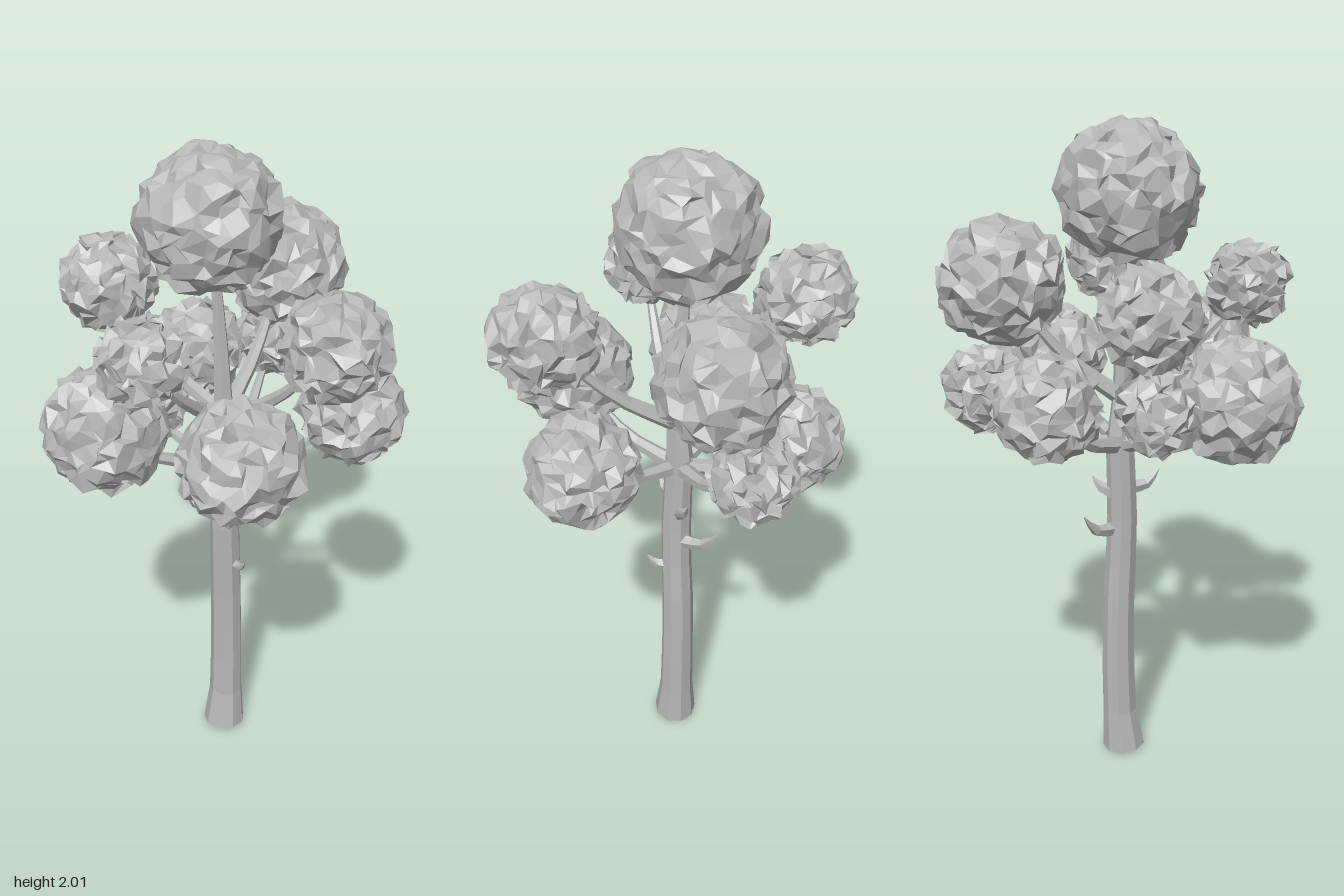
import * as THREE from 'three';

const V = (a) => new THREE.Vector3(...a);

// Repeatable noise in 0..1 from a position, so shared corners stay joined
function hash(p, seed) {
  const q = (v) => Math.round(v * 1000);
  const s = Math.sin(q(p.x) * 0.129898 + q(p.y) * 0.78233 + q(p.z) * 0.37719 + seed * 4.17) * 43758.5453;
  return s - Math.floor(s);
}

// Tapered tube through points, radii interpolated along its length
function taperedTube(points, radii, sides, segments) {
  const curve = new THREE.CatmullRomCurve3(points.map(V));
  const geo = new THREE.TubeGeometry(curve, segments, 1, sides, false);
  const pos = geo.attributes.position;
  const v = new THREE.Vector3();
  for (let i = 0; i <= segments; i++) {
    const t = i / segments;
    const centre = curve.getPointAt(t);
    const f = t * (radii.length - 1);
    const k = Math.min(Math.floor(f), radii.length - 2);
    const r = THREE.MathUtils.lerp(radii[k], radii[k + 1], f - k);
    for (let j = 0; j <= sides; j++) {
      const n = i * (sides + 1) + j;
      v.fromBufferAttribute(pos, n).sub(centre).multiplyScalar(r).add(centre);
      pos.setXYZ(n, v.x, v.y, v.z);
    }
  }
  geo.computeVertexNormals();
  return geo;
}

// Crumpled ball of leaves
function leafBall(radius, seed) {
  const geo = new THREE.IcosahedronGeometry(1, 5);
  const pos = geo.attributes.position;
  const p = new THREE.Vector3();
  const d = new THREE.Vector3();
  for (let i = 0; i < pos.count; i++) {
    p.fromBufferAttribute(pos, i);
    d.set(hash(p, seed) - 0.5, hash(p, seed + 11) - 0.5, hash(p, seed + 23) - 0.5).multiplyScalar(0.035);
    p.multiplyScalar(radius * 0.97).add(d);
    pos.setXYZ(i, p.x, p.y, p.z);
  }
  geo.computeVertexNormals();
  return geo;
}

export function createModel() {
  const tree = new THREE.Group();
  tree.name = 'tree';
  const grey = new THREE.MeshStandardMaterial({ color: 0xb8b8b8, flatShading: true, side: THREE.DoubleSide });
  grey.name = 'light grey';
  const add = (name, geo, at = [0, 0, 0]) => {
    const mesh = new THREE.Mesh(geo, grey);
    mesh.name = name;
    mesh.position.set(...at);
    tree.add(mesh);
    return mesh;
  };

  // Trunk, slightly bent, with a flared foot
  add('trunk', taperedTube(
    [[0.025, 0, -0.005], [0.035, 0.14, -0.012], [0.036, 0.5, -0.016], [0.026, 0.8, -0.008], [0.028, 1.09, -0.02]],
    [0.068, 0.054, 0.052, 0.05, 0.049, 0.047, 0.046, 0.044, 0.042], 9, 8));
  const base = add('trunkBase', new THREE.CircleGeometry(0.067, 9), [0.025, 0.001, -0.005]);
  base.rotation.x = Math.PI / 2;

  // Leaf balls: x, y, z, radius
  const balls = [
    [-0.01, 1.8, -0.035, 0.2],
    [0.31, 1.555, -0.19, 0.18],
    [0.19, 1.535, 0.315, 0.15],
    [-0.295, 1.53, 0.155, 0.12],
    [-0.195, 1.535, -0.33, 0.14],
    [-0.34, 1.24, -0.03, 0.18],
    [-0.09, 1.265, 0.325, 0.173],
    [0.34, 1.24, 0.18, 0.155],
    [0.1, 1.255, -0.345, 0.147],
    [0.32, 1.27, -0.28, 0.12],
    [-0.16, 1.23, -0.16, 0.125],
  ];
  balls.forEach(([x, y, z, r], i) => add('leafBall', leafBall(r, i + 1), [x, y, z]));

  // Central leader up to the crown
  add('leader', taperedTube(
    [[0.028, 1.06, -0.02], [0.02, 1.25, -0.01], [0.015, 1.45, -0.02], [0, 1.7, -0.03]],
    [0.042, 0.028, 0.02, 0.012], 6, 7));

  // Limbs to the other leaf balls; upper ones start higher on the leader
  balls.slice(1).forEach(([x, y, z]) => {
    const upper = y > 1.4;
    const y0 = upper ? 1.2 : 1.05;
    add('limb', taperedTube(
      [[0.025, y0, -0.015], [x * 0.45 + 0.01, y0 + (upper ? 0.11 : 0.04), z * 0.45], [x * 0.9, y - 0.06, z * 0.9]],
      [0.027, 0.019, 0.01], 6, 5));
  });

  // Short broken twigs on the trunk: root, bend, tip
  const twigs = [
    [[0.01, 0.91, 0], [-0.035, 0.915, 0.04], [-0.062, 0.955, 0.07]],
    [[0.04, 0.9, -0.03], [0.085, 0.91, -0.032], [0.115, 0.94, -0.03]],
    [[0.045, 0.78, -0.03], [0.068, 0.795, -0.1], [0.085, 0.855, -0.15]],
    [[0.04, 0.67, 0], [0.05, 0.675, 0.045], [0.052, 0.705, 0.077]],
  ];
  twigs.forEach((path) => add('twig', taperedTube(path, [0.024, 0.017, 0.002], 5, 4)));

  return tree;
}
